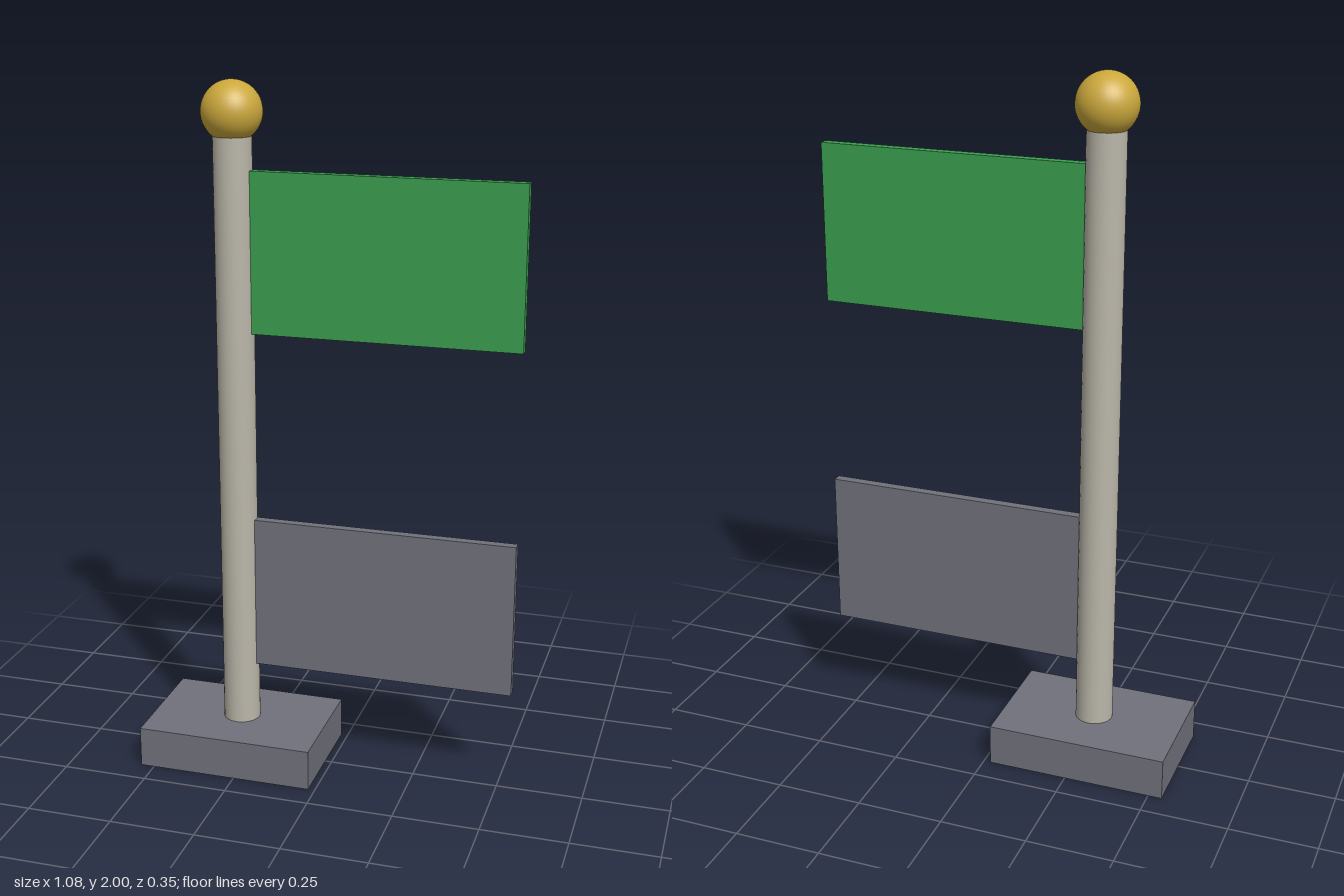
import * as THREE from 'three';

const POLE_X = -0.28;

function material(name, color) {
  const m = new THREE.MeshStandardMaterial({ color });
  m.name = name;
  return m;
}

export function createModel() {
  const group = new THREE.Group();
  group.name = 'flagPole';

  const slate = material('slate grey', 0x70717b);
  const stone = material('pale stone', 0xbab6a9);
  const green = material('flag green', 0x3a9f50);
  const gold = material('gold', 0xcba83c);

  const add = (name, geometry, mat, x, y) => {
    const mesh = new THREE.Mesh(geometry, mat);
    mesh.name = name;
    mesh.position.set(x, y, 0);
    group.add(mesh);
  };

  // Foot block
  add('base', new THREE.BoxGeometry(0.52, 0.12, 0.35), slate, POLE_X, 0.06);

  // Round pole, its top tucked into the ball
  add('pole', new THREE.CylinderGeometry(0.054, 0.054, 1.73, 32), stone, POLE_X, 0.985);

  // Ball on top
  add('finial', new THREE.SphereGeometry(0.085, 40, 24), gold, POLE_X, 1.915);

  // Two rigid panels reaching out from the pole
  const panel = new THREE.BoxGeometry(0.775, 0.453, 0.028);
  add('upperFlag', panel, green, 0.148, 1.532);
  add('lowerFlag', panel, slate, 0.148, 0.527);

  return group;
}
